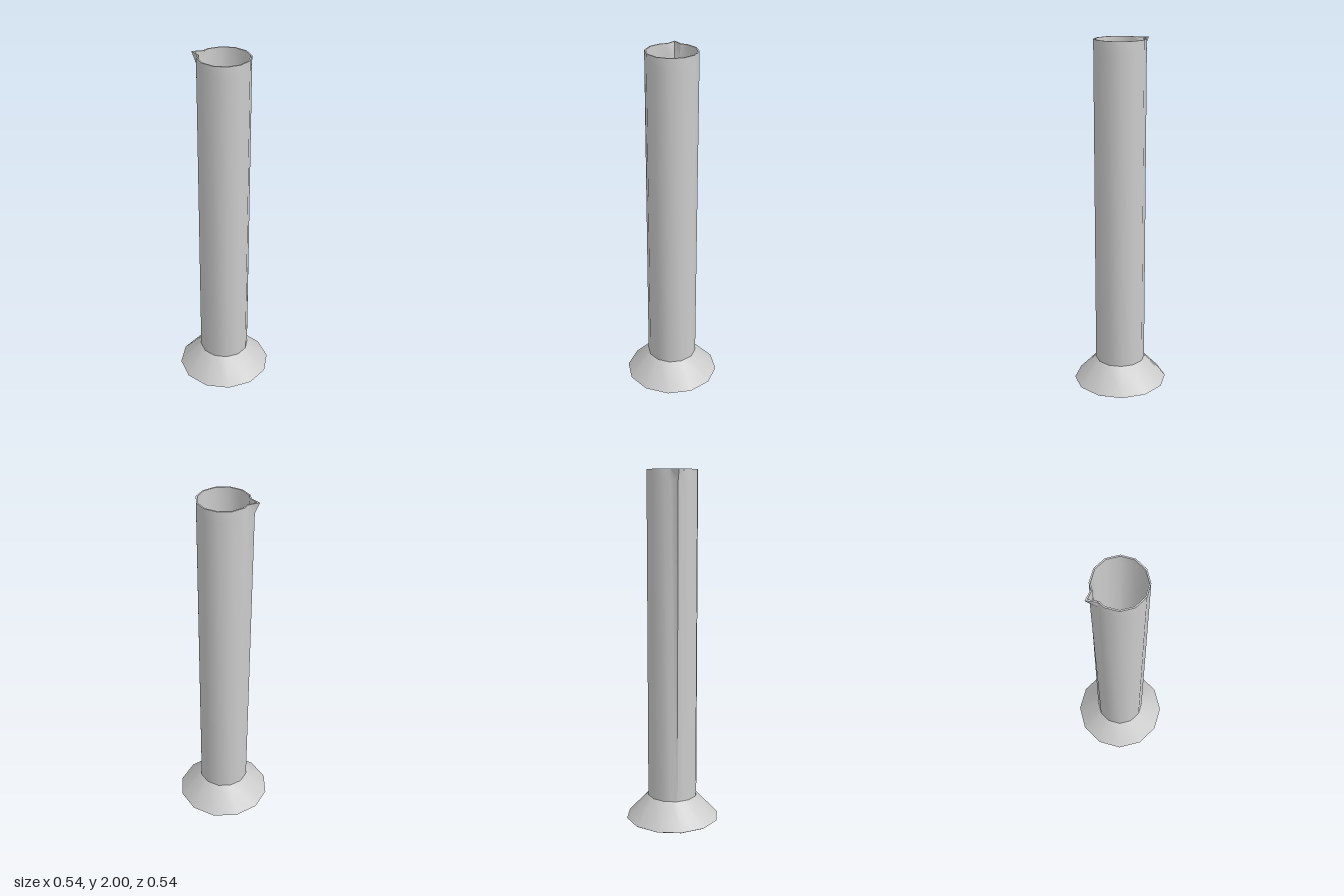
import * as THREE from 'three';
import { toCreasedNormals } from 'three/addons/utils/BufferGeometryUtils.js';

const SIDES = 12;

// One 12-sided ring at radius r; the -x corner sits at distance tip,
// flanked by two extra points at the middle of the neighbouring sides.
function ring(r, y, tip = r) {
  const pts = [];
  const corner = (i) => {
    const a = (i / SIDES) * Math.PI * 2;
    return new THREE.Vector3(r * Math.cos(a), y, r * Math.sin(a));
  };
  const half = SIDES / 2;
  for (let i = 0; i < SIDES; i++) {
    if (i === half) {
      pts.push(corner(half - 1).lerp(corner(half), 0.5));
      pts.push(new THREE.Vector3(-tip, y, 0));
      pts.push(corner(half).lerp(corner(half + 1), 0.5));
    } else pts.push(corner(i));
  }
  return pts;
}

// Skin between successive rings, skipping triangles collapsed at the axis.
function loft(rings) {
  const pos = [];
  const tri = (a, b, c) => {
    if (a.distanceTo(b) < 1e-6 || b.distanceTo(c) < 1e-6 || c.distanceTo(a) < 1e-6) return;
    for (const p of [a, b, c]) pos.push(p.x, p.y, p.z);
  };
  for (let i = 0; i < rings.length - 1; i++) {
    const lo = rings[i], hi = rings[i + 1], n = lo.length;
    for (let j = 0; j < n; j++) {
      const k = (j + 1) % n;
      tri(lo[j], hi[j], hi[k]);
      tri(lo[j], hi[k], lo[k]);
    }
  }
  const geo = new THREE.BufferGeometry();
  geo.setAttribute('position', new THREE.Float32BufferAttribute(pos, 3));
  return toCreasedNormals(geo, THREE.MathUtils.degToRad(35));
}

export function createModel() {
  const group = new THREE.Group();
  group.name = 'measuringCylinder';
  const material = new THREE.MeshStandardMaterial({ color: 0xcccccc, side: THREE.DoubleSide });
  const add = (name, rings) => {
    const mesh = new THREE.Mesh(loft(rings), material);
    mesh.name = name;
    group.add(mesh);
  };

  // Flared foot with a very shallow underside
  add('foot', [ring(0, 0), ring(0.256, 0.009), ring(0.268, 0.016), ring(0.142, 0.15)]);

  // Outer wall whose ridge swells slowly into the pouring lip, rim, inner wall and floor
  add('tube', [
    ring(0.142, 0.15),
    ring(0.142, 1.94, 0.158),
    ring(0.142, 2, 0.183),
    ring(0.134, 2, 0.168),
    ring(0.132, 1.94, 0.146),
    ring(0.131, 0.17),
    ring(0.09, 0.15),
    ring(0, 0.14),
  ]);

  return group;
}
